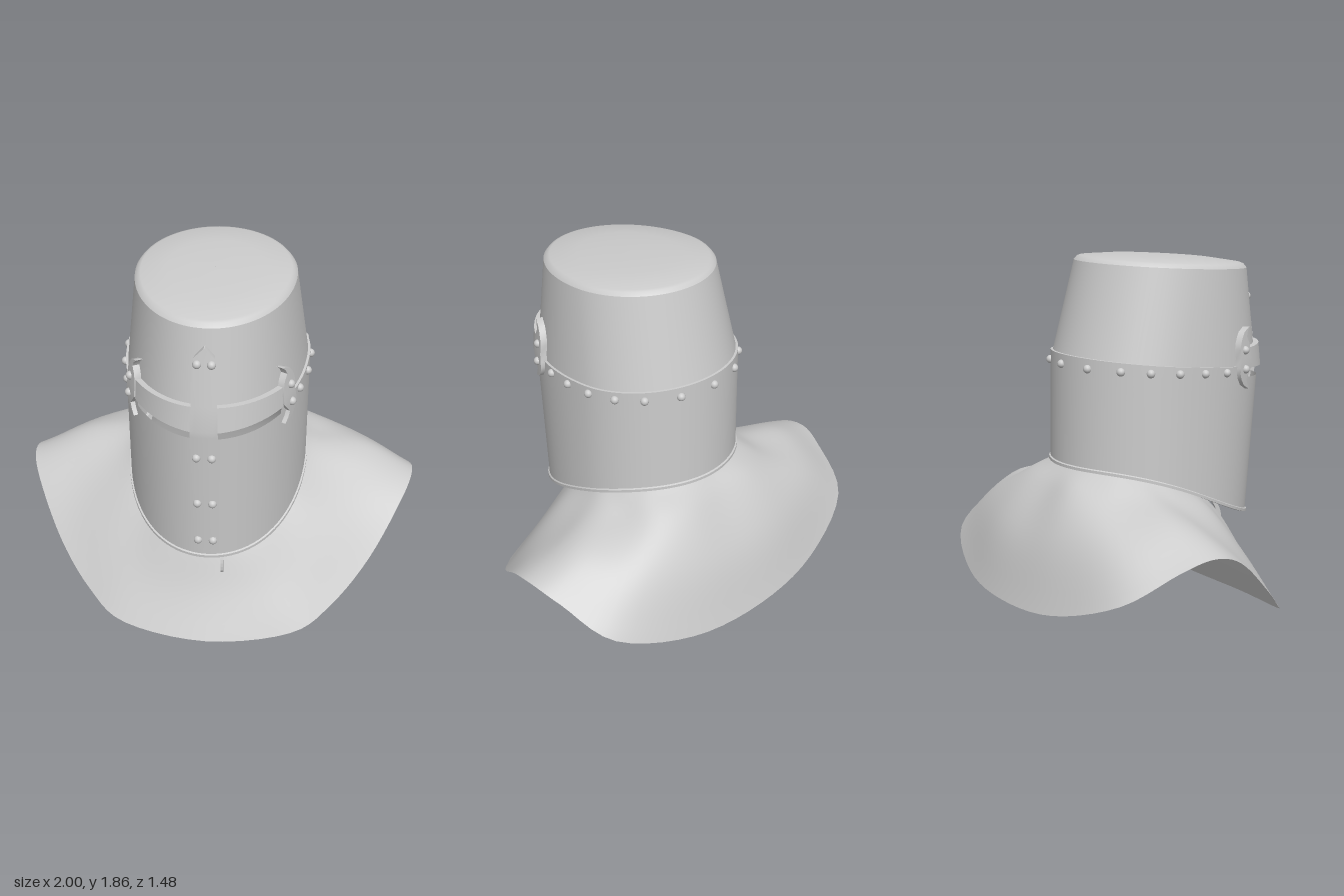
import * as THREE from 'three';
import { toCreasedNormals } from 'three/addons/utils/BufferGeometryUtils.js';

const mat = new THREE.MeshStandardMaterial({ color: 0xcccccc, side: THREE.DoubleSide });
const V = (x, y, z) => new THREE.Vector3(x, y, z);

// Surface from fn(i, j); skip(i, j) leaves a cell open
function grid(nu, nv, fn, skip = () => false) {
  const pos = [], idx = [];
  for (let j = 0; j <= nv; j++) for (let i = 0; i <= nu; i++) pos.push(...fn(i, j).toArray());
  for (let j = 0; j < nv; j++) for (let i = 0; i < nu; i++) {
    if (skip(i, j)) continue;
    const a = j * (nu + 1) + i, d = a + nu + 1;
    idx.push(a, a + 1, d + 1, a, d + 1, d);
  }
  const g = new THREE.BufferGeometry();
  g.setAttribute('position', new THREE.Float32BufferAttribute(pos, 3));
  g.setIndex(idx);
  return toCreasedNormals(g, 0.6);
}

function mesh(name, geometry, parent) {
  const m = new THREE.Mesh(geometry, mat);
  m.name = name;
  parent.add(m);
  return m;
}

// Egg-shaped rings of the helmet; angle 0 is the front, positive towards +x
const seamY = z => 1.345 - 0.1 * z;
const bottomY = z => {
  const s = THREE.MathUtils.clamp((0.64 - z) / 1.02, 0, 1);
  return 0.49 + 0.165 * (Math.sin(s * Math.PI / 2) + s * s * (3 - 2 * s));
};
const ring = (w, zc, front, back, y) => a => {
  const c = Math.cos(a), z = zc + c * (c > 0 ? front : back);
  return V(w * Math.sin(a), y(z), z);
};
const bottom = ring(0.435, 0.05, 0.59, 0.43, bottomY);
const seam = ring(0.44, 0.05, 0.66, 0.42, seamY);
const top = ring(0.385, 0.15, 0.5, 0.41, z => 1.813 - 0.065 * z);

// Point on the helmet at an angle and height, raised by off
function onHelmet(a, y, off = 0) {
  const s = seam(a), low = y < s.y;
  const p = low ? bottom(a) : s, q = low ? s : top(a);
  const r = p.clone().lerp(q, (y - p.y) / (q.y - p.y));
  const n = V(Math.sin(a) / 0.44, 0, Math.cos(a) / (Math.cos(a) > 0 ? 0.66 : 0.42)).normalize();
  return r.addScaledVector(n, off);
}

// Raised plate: each row is [[angle, y], [angle, y]] from one edge to the other
function plate(rows, n, off) {
  const last = rows.length + 1;
  return grid(n + 2, last, (i, j) => {
    const [A, B] = rows[THREE.MathUtils.clamp(j - 1, 0, rows.length - 1)];
    const t = THREE.MathUtils.clamp((i - 1) / n, 0, 1);
    const edge = i === 0 || i === n + 2 || j === 0 || j === last;
    return onHelmet(A[0] + (B[0] - A[0]) * t, A[1] + (B[1] - A[1]) * t, edge ? 0 : off);
  });
}
const mirrored = rows => rows.map(([A, B]) => [[-B[0], B[1]], [-A[0], A[1]]]);

function addHelmet(parent) {
  const N = 96, angle = i => -Math.PI + 2 * Math.PI * i / N;

  // Lower plate with rolled bottom edge, top lip and two eye slits
  const rows = [
    a => [bottom(a).y, 0], a => [bottom(a).y, 0.018], a => [bottom(a).y + 0.014, 0.018],
    a => [bottom(a).y + 0.018, 0.01], a => [seam(a).y - 0.055, 0.012],
    a => [seam(a).y - 0.008, 0.012], a => [seam(a).y - 0.0005, 0.012], a => [seam(a).y, 0]];
  mesh('lowerPlate', grid(N, rows.length - 1, (i, j) => onHelmet(angle(i), ...rows[j](angle(i))),
    (i, j) => {
      const a = Math.abs(angle(i + 0.5));
      return j === 4 && a > 0.14 && a < 0.83;
    }), parent);

  mesh('upperPlate', grid(N, 1, (i, j) => (j ? top : seam)(angle(i))), parent);

  // Domed crown with a bevelled rim
  const dome = [[1, 0], [0.965, 0.018], [0.93, 0.024], [0.6, 0.04], [0.3, 0.046], [0.002, 0.048]];
  mesh('crown', grid(N, dome.length - 1, (i, j) => {
    const p = V(0, 1.8, 0.19).lerp(top(angle(i)), dome[j][0]);
    p.y += dome[j][1];
    return p;
  }), parent);
}

function addCross(parent) {
  // Upright with pointed ends: height and half width as an angle
  const upright = [[0.53, 0.005], [0.575, 0.1], [0.9, 0.115], [1.24, 0.135], [1.272, 0.135],
    [1.4, 0.13], [1.64, 0.112], [1.69, 0.005]].map(([y, h]) => [[-h, y], [h, y]]);
  mesh('crossUpright', plate(upright, 6, 0.032), parent);

  const arm = [[[0.1, 1.264], [0.93, 1.292]], [[0.1, 1.395], [0.93, 1.39]]];
  // Forked arm end: height, front edge and rear edge
  const fork = [[1.185, 0.86, 0.87], [1.21, 0.9, 0.96], [1.24, 0.925, 1.0], [1.27, 0.88, 1.02],
    [1.3, 0.84, 1.02], [1.345, 0.84, 1.01], [1.39, 0.85, 1.02], [1.42, 0.87, 1.01],
    [1.45, 0.91, 0.985], [1.475, 0.89, 0.95], [1.495, 0.85, 0.86]]
    .map(([y, l, r]) => [[l, y], [r, y]]);
  mesh('leftCrossArm', plate(arm, 14, 0.028), parent);
  mesh('rightCrossArm', plate(mirrored(arm), 14, 0.028), parent);
  mesh('leftArmFork', plate(fork, 4, 0.034), parent);
  mesh('rightArmFork', plate(mirrored(fork), 4, 0.034), parent);
}

function addRivets(parent) {
  const rivets = new THREE.Group();
  rivets.name = 'rivets';
  parent.add(rivets);
  const head = new THREE.SphereGeometry(0.021, 14, 10);
  const rivet = (a, y, off) => mesh('rivet', head, rivets).position.copy(onHelmet(a, y, off));
  for (const s of [-1, 1]) {
    for (const y of [1.61, 1.12, 0.845, 0.615]) rivet(s * 0.075, y, 0.03);
    for (const y of [1.385, 1.29]) rivet(s * 0.95, y, 0.034);
    for (const a of [1.16, 1.39, 1.64, 1.98, 2.31, 2.71])
      rivet(s * a, seam(a).y - 0.012 - 0.014 * a, 0.014);
  }
  rivet(Math.PI, seam(Math.PI).y - 0.05, 0.014);
}

function addCape(parent) {
  // Left halves of the rings, front to back, from hem to collar
  const halves = [
    [[0, 0, .71], [.42, .03, .64], [.62, .12, .5], [.8, .28, .3], [.95, .48, .05],
      [1, .54, -.13], [.97, .49, -.3], [.85, .34, -.55], [.45, .21, -.69], [0, .18, -.735]],
    [[0, .22, .59], [.3, .24, .55], [.48, .33, .42], [.62, .46, .24], [.72, .58, .03],
      [.76, .63, -.12], [.74, .64, -.27], [.62, .58, -.47], [.33, .52, -.59], [0, .5, -.62]],
    [[0, .46, .49], [.2, .48, .45], [.34, .54, .33], [.42, .62, .2], [.47, .68, .03],
      [.48, .71, -.1], [.47, .72, -.22], [.4, .73, -.36], [.22, .73, -.45], [0, .72, -.46]],
    [[0, .57, .42], [.16, .58, .38], [.28, .63, .28], [.34, .7, .15], [.37, .76, .02],
      [.37, .78, -.08], [.36, .79, -.17], [.3, .81, -.26], [.16, .82, -.33], [0, .82, -.35]]];
  const curves = halves.map(h => {
    const left = h.map(p => V(...p));
    const right = h.slice(1, -1).reverse().map(([x, y, z]) => V(-x, y, z));
    return new THREE.CatmullRomCurve3([...left, ...right], true, 'catmullrom', 0.5);
  });
  const NU = 90, NV = 18;
  mesh('shoulderCape', grid(NU, NV, (i, j) => {
    const u = (i % NU) / NU, v = j / NV;
    const p = new THREE.CatmullRomCurve3(curves.map(c => c.getPoint(u))).getPoint(v);
    // Soft cloth folds
    p.y += 0.008 * Math.sin(Math.PI * v) * Math.sin(14 * Math.PI * u + 4 * v);
    return p;
  }), parent);
}

function addHook(parent) {
  // Thin curved claw hanging below the front edge
  const s = new THREE.Shape();
  s.moveTo(0.55, 0.54);
  s.quadraticCurveTo(0.575, 0.5, 0.59, 0.53);
  s.quadraticCurveTo(0.55, 0.47, 0.585, 0.52);
  s.lineTo(0.56, 0.53);
  const claw = new THREE.Shape();
  claw.moveTo(0.55, 0.54);
  claw.quadraticCurveTo(0.63, 0.47, 0.62, 0.39);
  claw.quadraticCurveTo(0.615, 0.365, 0.595, 0.36);
  claw.quadraticCurveTo(0.605, 0.42, 0.585, 0.46);
  claw.quadraticCurveTo(0.57, 0.5, 0.54, 0.52);
  const g = new THREE.ExtrudeGeometry(claw, { depth: 0.014, bevelEnabled: false, curveSegments: 8 });
  g.rotateY(-Math.PI / 2);
  mesh('hook', g, parent).position.x = 0.08;
}

export function createModel() {
  const model = new THREE.Group();
  model.name = 'helmetWithCape';
  const helmet = new THREE.Group();
  helmet.name = 'helmet';
  model.add(helmet);
  addHelmet(helmet);
  addCross(helmet);
  addRivets(helmet);
  addHook(helmet);
  addCape(model);
  return model;
}
